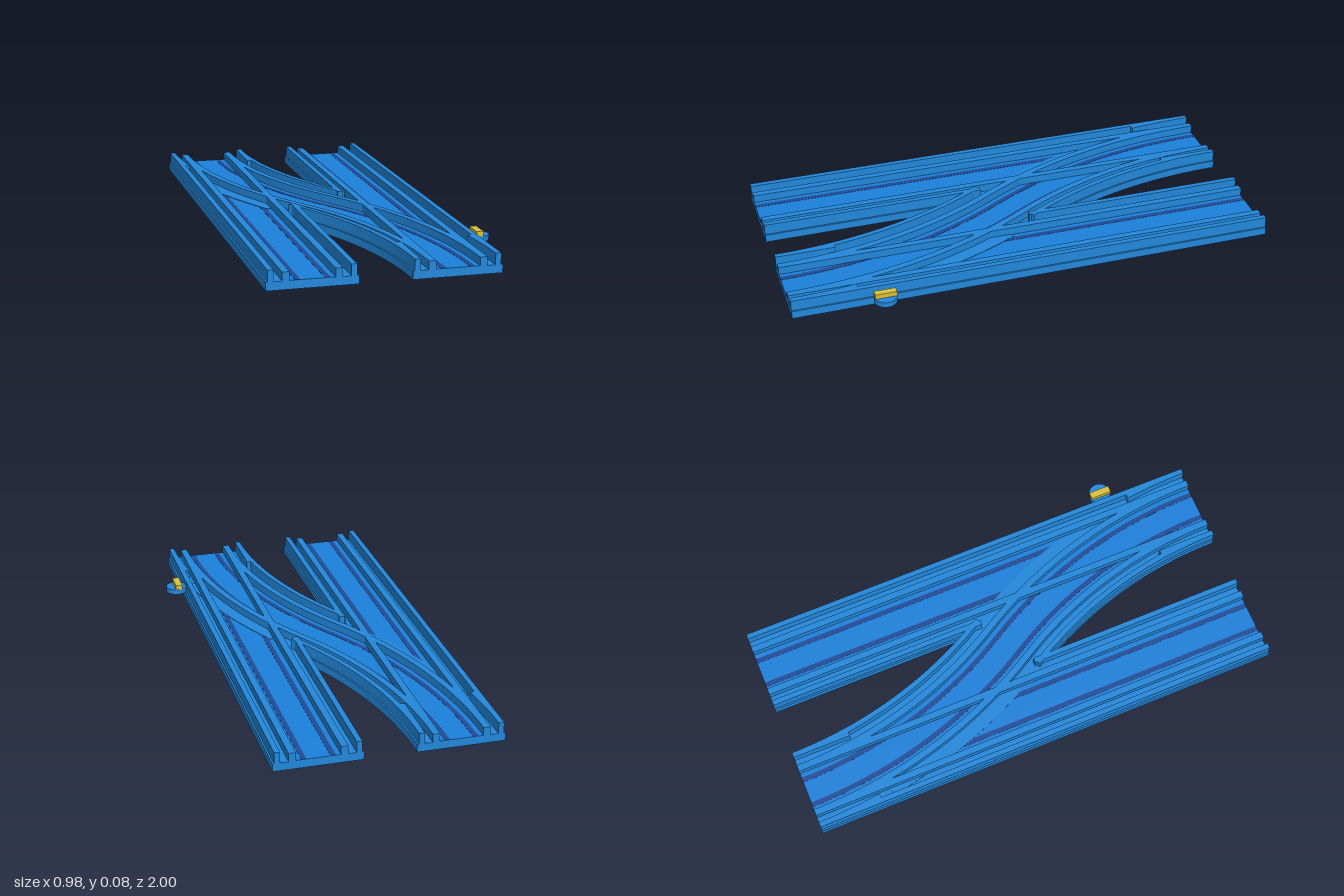
import * as THREE from 'three';

const CX = -0.04;            // x of the half-turn symmetry axis
const LEFT = -0.318, RIGHT = 0.238; // straight track centrelines
const HALF = 0.175, FLOOR = 0.033;
const SHIFT = CX - LEFT;
const R = (1 + SHIFT * SHIFT) / (2 * SHIFT); // radius of the crossover arcs

function colour(name, hex) {
  const material = new THREE.MeshStandardMaterial({ color: hex });
  material.name = name;
  return material;
}
const blue = colour('track blue', 0x2288dc);
const floorBlue = colour('running floor blue', 0x1b80dc);
const navy = colour('groove navy', 0x1f4c98);
const yellow = colour('lever yellow', 0xdcc238);

// Paths return the point at z, moved sideways by an offset
const straight = (cx) => (z, off) => new THREE.Vector2(cx + off, z);
function crossover(z, off) {
  const a = Math.asin((1 - Math.abs(z)) / R);
  const bend = R * (1 - Math.cos(a));
  const x = z < 0 ? LEFT + bend : RIGHT - bend;
  return new THREE.Vector2(x + off * Math.cos(a), z - off * Math.sin(a));
}

function edge(path, off, z0, z1, n) {
  return Array.from({ length: n + 1 }, (_, i) => path(z0 + (z1 - z0) * i / n, off));
}

// Extrude a plan outline (x, z) between two heights
function slab(name, points, y0, y1, material) {
  const geo = new THREE.ExtrudeGeometry(new THREE.Shape(points), { depth: y1 - y0, bevelEnabled: false });
  geo.rotateX(Math.PI / 2).translate(0, y1, 0);
  const mesh = new THREE.Mesh(geo, material);
  mesh.name = name;
  return mesh;
}

function strip(name, path, o0, o1, z0, z1, y0, y1, material) {
  const n = path === crossover ? Math.max(6, Math.ceil((z1 - z0) * 20)) : 1;
  const pts = [...edge(path, o0, z0, z1, n), ...edge(path, o1, z0, z1, n).reverse()];
  return slab(name, pts, y0, y1, material);
}

export function createModel() {
  const group = new THREE.Group();
  group.name = 'trackCrossover';

  // Base plate: two straights joined by the curved crossover
  const innerR = RIGHT - HALF;
  const backCurve = edge(crossover, HALF, -1, 0.2, 60).filter((p) => p.x < innerR);
  const half = [new THREE.Vector2(LEFT - HALF, -1), ...backCurve,
    new THREE.Vector2(innerR, backCurve[backCurve.length - 1].y + 0.01),
    new THREE.Vector2(innerR, -1), new THREE.Vector2(RIGHT + HALF, -1)];
  const turned = half.map((p) => new THREE.Vector2(2 * CX - p.x, -p.y));
  group.add(slab('basePlate', [...half, ...turned], 0, FLOOR, blue));

  const outer = (path, side, z0, z1) => group.add(
    strip('outerRail', path, side * 0.146, side * 0.168, z0, z1, FLOOR - 0.005, 0.078, blue));
  const inner = (path, side) => group.add(
    strip('innerRail', path, side * 0.086, side * 0.114, -1, 1, FLOOR - 0.005, 0.067, blue));
  const groove = (path, side, z0, z1) => group.add(
    strip('grooveStripe', path, side * 0.046, side * 0.066, z0, z1, FLOOR - 0.001, FLOOR + 0.002, navy));
  const wheelway = (side, z0, z1) => group.add(
    strip('wheelway', crossover, side * 0.1, side * 0.17, z0, z1, FLOOR - 0.001, FLOOR + 0.003, blue));

  // Running floors and inner rails follow the full length of all three routes
  const left = straight(LEFT), right = straight(RIGHT);
  for (const path of [left, right, crossover]) {
    group.add(strip('runningFloor', path, -0.09, 0.09, -1, 1, FLOOR - 0.001, FLOOR + 0.001, floorBlue));
    for (const side of [-1, 1]) inner(path, side);
  }

  // Curved wheelways crossing the straight floors
  wheelway(-1, -0.7, -0.1);
  wheelway(1, 0.1, 0.7);

  // Outer rails are interrupted where the routes pass through each other
  outer(left, -1, -1, 1);
  outer(left, 1, -1, -0.755);
  outer(left, 1, 0.07, 1);
  outer(right, 1, -1, 1);
  outer(right, -1, -1, -0.07);
  outer(right, -1, 0.755, 1);
  outer(crossover, -1, -1, -0.75);
  outer(crossover, -1, 0, 1);
  outer(crossover, 1, -1, 0);
  outer(crossover, 1, 0.75, 1);

  // Dark stripes in the running floor
  for (const side of [-1, 1]) groove(crossover, side, -1, 1);
  groove(left, -1, -0.4, 1);
  groove(left, 1, -0.1, 1);
  groove(right, 1, -1, 0.4);
  groove(right, -1, -1, 0.1);

  // Switch knob with its grip
  const knob = new THREE.Mesh(new THREE.CylinderGeometry(0.046, 0.046, 0.022, 32), blue);
  knob.name = 'switchKnob';
  knob.position.set(0.444, 0.041, 0.632);
  const grip = new THREE.Mesh(new THREE.BoxGeometry(0.028, 0.021, 0.088), yellow);
  grip.name = 'switchGrip';
  grip.position.set(0.441, 0.0615, 0.632);
  group.add(knob, grip);
  return group;
}
